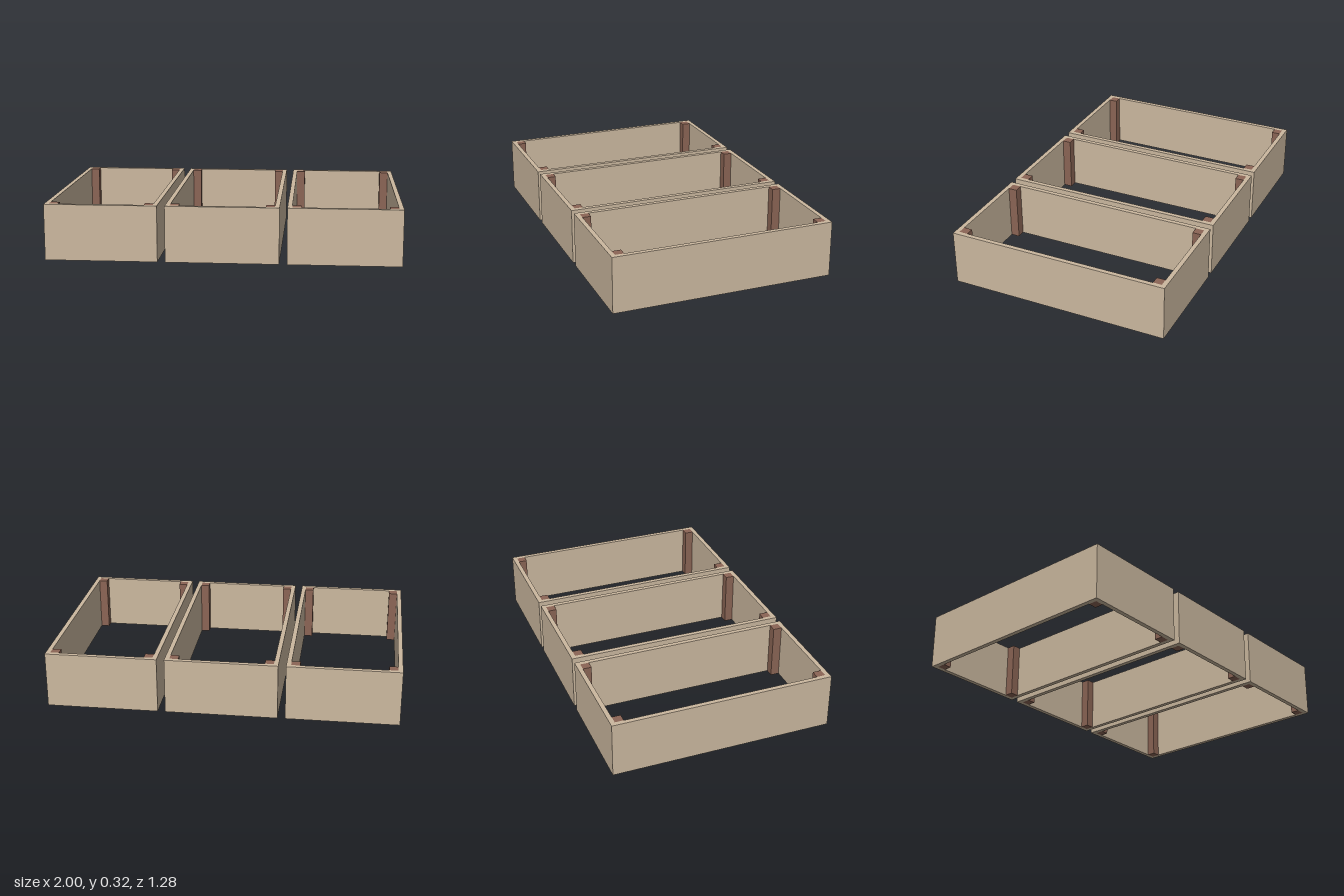
import * as THREE from 'three';

const W = 0.638, D = 1.276, H = 0.32; // outer size of one bed
const T = 0.026;                      // board thickness
const P = 0.05;                       // corner post width
const SPACING = 0.681;

const boardMaterial = new THREE.MeshStandardMaterial({ color: 0xcbb89f });
const postMaterial = new THREE.MeshStandardMaterial({ color: 0x8b6555 });

function addBox(parent, name, material, [w, h, d], [x, y, z]) {
  const mesh = new THREE.Mesh(new THREE.BoxGeometry(w, h, d), material);
  mesh.name = name;
  mesh.position.set(x, y, z);
  parent.add(mesh);
}

// One open rectangular bed: four boards around four inner corner posts
function createBed() {
  const bed = new THREE.Group();
  for (const s of [-1, 1]) {
    addBox(bed, s > 0 ? 'frontBoard' : 'backBoard', boardMaterial,
      [W, H, T], [0, H / 2, s * (D - T) / 2]);
    addBox(bed, s > 0 ? 'leftBoard' : 'rightBoard', boardMaterial,
      [T, H, D - 2 * T], [s * (W - T) / 2, H / 2, 0]);
    for (const t of [-1, 1]) {
      addBox(bed, 'cornerPost', postMaterial, [P, H, P],
        [s * (W / 2 - T - P / 2), H / 2, t * (D / 2 - T - P / 2)]);
    }
  }
  return bed;
}

export function createModel() {
  const model = new THREE.Group();
  model.name = 'planterBeds';
  ['rightBed', 'middleBed', 'leftBed'].forEach((name, i) => {
    const bed = createBed();
    bed.name = name;
    bed.position.x = (i - 1) * SPACING;
    model.add(bed);
  });
  return model;
}
